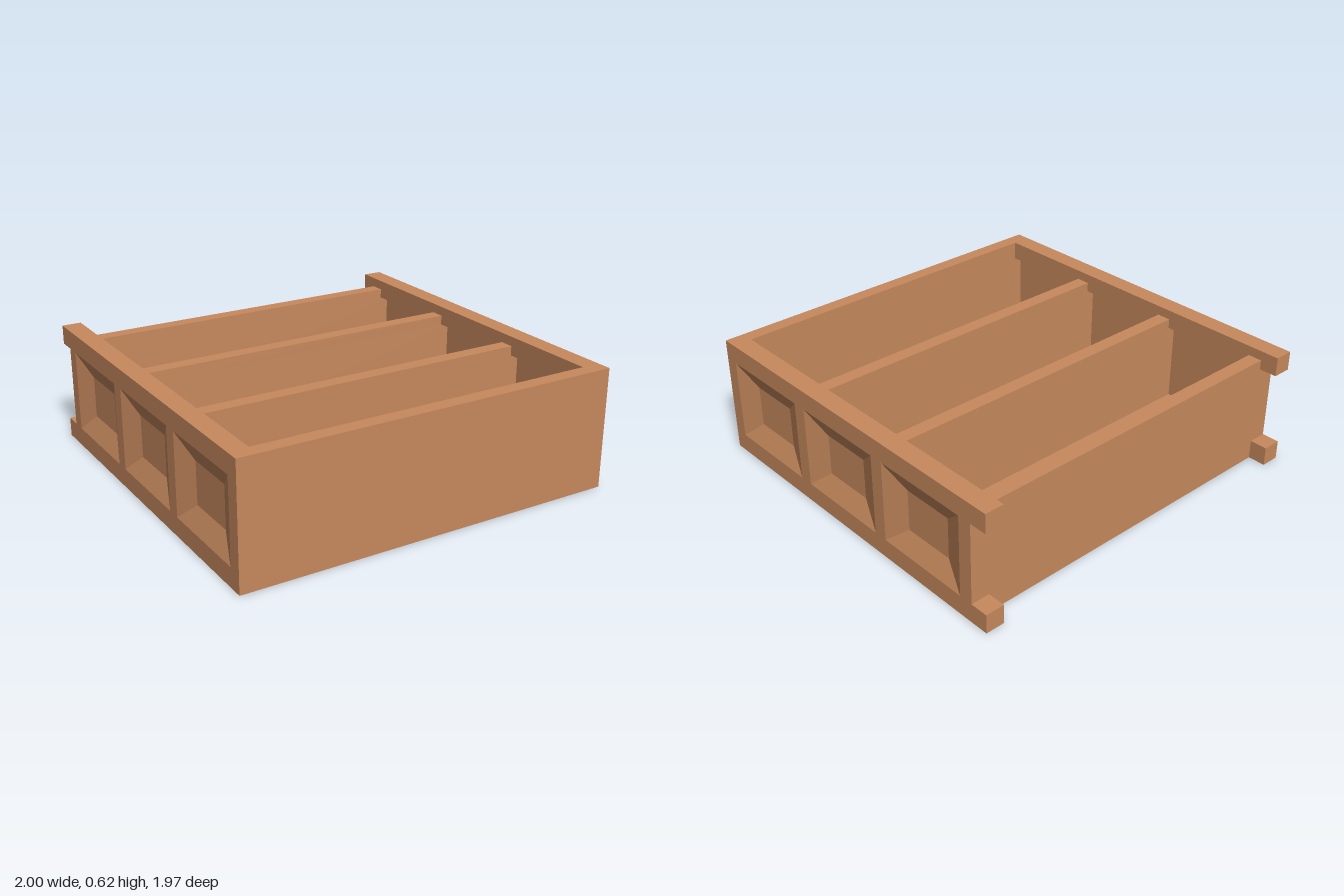
import * as THREE from 'three';

const wood = new THREE.MeshStandardMaterial({ color: 0xc88a5e, flatShading: true });

// Box given by its limits on each axis
function slab(name, [x0, x1], [y0, y1], [z0, z1]) {
  const mesh = new THREE.Mesh(new THREE.BoxGeometry(x1 - x0, y1 - y0, z1 - z0), wood);
  mesh.position.set((x0 + x1) / 2, (y0 + y1) / 2, (z0 + z1) / 2);
  mesh.name = name;
  return mesh;
}

// Panel facing +x: sloping sunken border, flat centre, flat back
function sunkenPanel(height, depth) {
  const ring = (x, inY, inZ) =>
    [[-1, 1], [-1, -1], [1, -1], [1, 1]].map(([y, z]) => [x, y * (height / 2 - inY), z * (depth / 2 - inZ)]);
  const back = ring(-0.055, 0, 0);
  const rim = ring(0, 0, 0);
  const centre = ring(-0.045, 0.105, 0.125);
  const pos = [];
  const quad = (a, b, c, d) => pos.push(...a, ...b, ...c, ...a, ...c, ...d);
  for (let i = 0; i < 4; i++) {
    const j = (i + 1) % 4;
    quad(rim[i], rim[j], centre[j], centre[i]);
    quad(back[i], back[j], rim[j], rim[i]);
  }
  quad(...centre);
  quad(back[3], back[2], back[1], back[0]);
  const geo = new THREE.BufferGeometry();
  geo.setAttribute('position', new THREE.Float32BufferAttribute(pos, 3));
  geo.computeVertexNormals();
  return geo;
}

export function createModel() {
  const model = new THREE.Group();
  model.name = 'drawerBox';
  const H = 0.625, low = 0.1, high = 0.525;
  const frontZ = 0.91, endZ = 0.985;

  model.add(slab('frontWall', [-1, 1], [0, H], [frontZ, endZ]));

  // Long rails, overhanging the back wall as four stubs
  for (const s of [-1, 1]) {
    const x = s > 0 ? [0.9, 1] : [-1, -0.9];
    model.add(slab('topRail', x, [high, H], [-endZ, frontZ]));
    model.add(slab('bottomRail', x, [0, low], [-endZ, frontZ]));
  }

  // Three bays, each with a cross wall, a floor and two side panels
  for (let i = 0; i < 3; i++) {
    const z1 = frontZ - i * 0.6;
    const z0 = z1 - 0.525;
    const wall = new THREE.Group();
    wall.name = i < 2 ? 'divider' : 'backWall';
    const wz = [z0 - 0.075, z0];
    wall.add(slab('wallBody', [-1, 1], [low, high], wz));
    wall.add(slab('wallTop', [-0.9, 0.9], [high, 0.575], wz));
    wall.add(slab('wallFoot', [-0.9, 0.9], [0, low], wz));
    model.add(wall);

    model.add(slab('floorPanel', [-0.9, 0.9], [0.05, low], [z0, z1]));

    for (const s of [-1, 1]) {
      const panel = new THREE.Mesh(sunkenPanel(high - low, z1 - z0), wood);
      panel.position.set(s, (low + high) / 2, (z0 + z1) / 2);
      panel.rotation.y = s > 0 ? 0 : Math.PI;
      panel.name = 'sidePanel';
      model.add(panel);
    }
  }
  return model;
}
